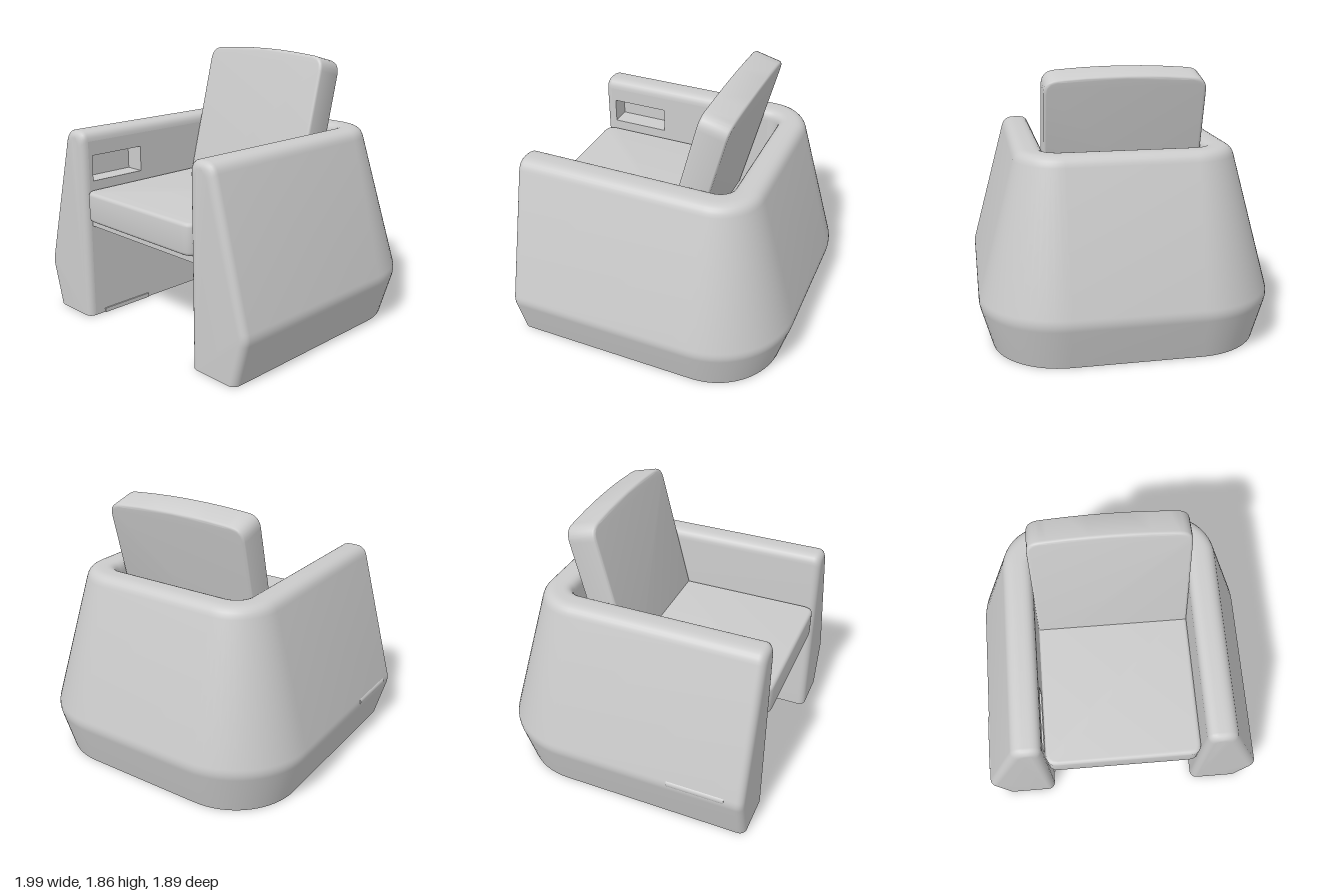
import * as THREE from 'three';
import { toCreasedNormals } from 'three/addons/utils/BufferGeometryUtils.js';

const material = new THREE.MeshStandardMaterial({ color: 0xcccccc });

function part(name, geometry, mat = material) {
  const mesh = new THREE.Mesh(geometry, mat);
  mesh.name = name;
  return mesh;
}

// Turns corners [x, y, cut] into an outline with softened corners
function softOutline(corners, steps = 6) {
  const points = [];
  corners.forEach(([x, y, cut], i) => {
    const p = new THREE.Vector2(x, y);
    if (!cut) return points.push(p);
    const toward = ([nx, ny]) => {
      const d = new THREE.Vector2(nx - x, ny - y);
      return p.clone().add(d.setLength(cut));
    };
    const n = corners.length;
    const curve = new THREE.QuadraticBezierCurve(
      toward(corners[(i + n - 1) % n]), p, toward(corners[(i + 1) % n]));
    points.push(...curve.getPoints(steps));
  });
  return points;
}

// Slab of the given outline with softly bevelled faces, from z = 0 to z = depth
function cushion(corners, depth, bevel) {
  const geo = new THREE.ExtrudeGeometry(new THREE.Shape(softOutline(corners)), {
    depth: depth - 2 * bevel, bevelThickness: bevel, bevelSize: bevel,
    bevelOffset: -bevel, bevelSegments: 4,
  });
  geo.translate(0, 0, bevel);
  return toCreasedNormals(geo, 0.6);
}

const INNER = 0.535, CORNER = 0.1, FRONT = 0.95, EDGE = 0.05, TOP_CUT = 0.07, HEIGHT = 1.34;
const cx = INNER - CORNER, cz = -0.385;

// Wall cross-section: distance out from the inner face, height
const wallProfile = (t) => softOutline([
  [t, 0, 0], [0.375 - t, 0, 0], [0.465 - t, 0.32, 0.04],
  [0.187 - t, HEIGHT - t, TOP_CUT], [t, HEIGHT - t, TOP_CUT],
]);

// U-shaped wall swept from the left arm round the back to the right arm
function wallGeometry() {
  const stations = [];
  const arm = [];
  for (let k = 6; k >= 0; k--) {
    const a = (k / 6) * Math.PI / 2;
    arm.push({ z: FRONT - EDGE + EDGE * Math.sin(a), t: EDGE * (1 - Math.cos(a)) });
  }
  const add = (x, z, nx, nz, t) => stations.push(
    wallProfile(t).map((p) => [x + nx * p.x, p.y, z + nz * p.x]));
  arm.forEach((s) => add(INNER, s.z, 1, 0, s.t));
  for (const side of [0, 1]) {
    for (let k = 0; k <= 16; k++) {
      const a = (side + k / 16) * Math.PI / 2;
      const nx = Math.cos(a), nz = -Math.sin(a);
      add((side ? -cx : cx) + CORNER * nx, cz + CORNER * nz, nx, nz, 0);
    }
  }
  const openStrip = stations.length - 1; // inner face of the right arm is a separate panel
  arm.reverse().forEach((s) => add(-INNER, s.z, -1, 0, s.t));

  const n = stations[0].length, index = [];
  for (let i = 0; i < stations.length - 1; i++) {
    for (let j = 0; j < n; j++) {
      if (i === openStrip && j === n - 1) continue;
      const k = (j + 1) % n;
      const a = i * n + j, b = a + n, c = i * n + k, d = c + n;
      index.push(a, b, c, b, d, c);
    }
  }
  const last = (stations.length - 1) * n;
  for (let j = 1; j < n - 1; j++) {
    index.push(0, j, j + 1, last, last + j + 1, last + j);
  }
  const geo = new THREE.BufferGeometry();
  geo.setAttribute('position', new THREE.Float32BufferAttribute(stations.flat(2), 3));
  geo.setIndex(index);
  return toCreasedNormals(geo, 0.6);
}

export function createModel() {
  const model = new THREE.Group();
  model.name = 'armchair';
  model.add(part('wrapAroundShell', wallGeometry()));

  // Inner face of the right arm with an opening for the storage pocket
  const rect = (Type, u0, u1, v0, v1) => new Type([
    [u0, v0], [u1, v0], [u1, v1], [u0, v1]].map(([u, v]) => new THREE.Vector2(u, v)));
  const panel = rect(THREE.Shape, EDGE - FRONT, -cz, 0, HEIGHT - TOP_CUT);
  panel.holes.push(rect(THREE.Path, -0.87, -0.45, 0.99, 1.17));
  const inner = part('rightArmInnerPanel', new THREE.ShapeGeometry(panel));
  inner.rotation.y = Math.PI / 2;
  inner.position.x = -INNER;
  model.add(inner);

  // Pocket walls: four sides and a back, open toward the seat
  const pocket = new THREE.Group();
  pocket.name = 'armPocket';
  const liner = (w, h, d, x, y, z) => {
    const m = part('pocketWall', new THREE.BoxGeometry(w, h, d));
    m.position.set(x, y, z);
    pocket.add(m);
  };
  for (const s of [-1, 1]) {
    liner(0.15, 0.01, 0.44, -INNER - 0.077, 1.08 + s * 0.095, 0.66);
    liner(0.15, 0.2, 0.01, -INNER - 0.077, 1.08, 0.66 + s * 0.215);
  }
  liner(0.01, 0.2, 0.44, -INNER - 0.15, 1.08, 0.66);
  model.add(pocket);

  // Small grip along the widest line of the right arm, and a trim at its foot
  const grip = part('sideGrip', new THREE.CylinderGeometry(0.03, 0.03, 0.4, 16));
  grip.rotation.x = Math.PI / 2;
  grip.position.set(-0.97, 0.335, 0.62);
  const trim = part('footTrim', new THREE.BoxGeometry(0.02, 0.03, 0.4));
  trim.position.set(-INNER, 0.015, 0.62);
  model.add(grip, trim);

  // Seat cushion on its support board
  const seat = part('seatCushion', cushion([
    [-INNER, -0.945, 0.08], [INNER, -0.945, 0.08], [INNER, 0.14, 0], [-INNER, 0.14, 0],
  ], 0.21, 0.025));
  seat.rotation.x = -Math.PI / 2;
  seat.position.y = 0.72;
  const board = part('seatBoard', new THREE.BoxGeometry(2 * INNER, 0.05, 1.02));
  board.position.set(0, 0.695, 0.38);
  model.add(seat, board);

  // Reclined backrest with a gently arched top
  const h = 1.165;
  const back = part('backrest', cushion([
    [-INNER, 0, 0], [INNER, 0, 0], [INNER, h - 0.025, 0.09],
    [0, h + 0.02, 0.4], [-INNER, h - 0.025, 0.09],
  ], 0.207, 0.02));
  back.geometry.translate(0, 0, -0.207);
  back.rotation.x = -0.255;
  back.position.set(0, 0.73, 0.012);
  model.add(back);

  return model;
}
